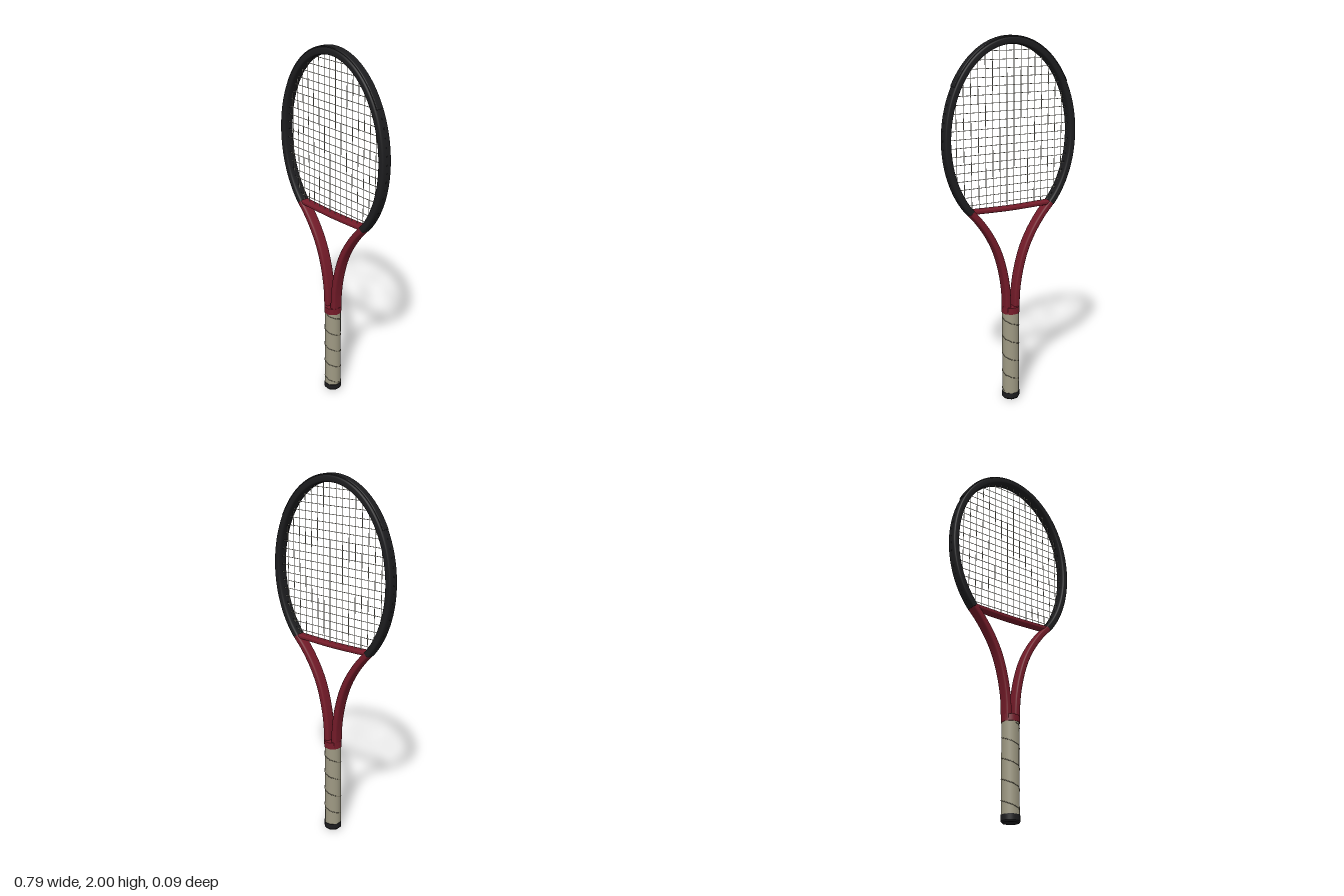
import * as THREE from 'three';

const CY = 1.48, A = 0.373, B = 0.495; // centre line of the oval head

const mat = (name, color) => {
  const m = new THREE.MeshStandardMaterial({ color });
  m.name = name;
  return m;
};

// Rounded-rectangle section: u lies in the plane of the head, v along z
function section(hu, hv, du = 0, p = 0.5, n = 24) {
  return Array.from({ length: n }, (_, i) => {
    const t = (i / n) * Math.PI * 2, c = Math.cos(t), s = Math.sin(t);
    return [du + hu * Math.sign(c) * Math.abs(c) ** p, hv * Math.sign(s) * Math.abs(s) ** p];
  });
}

// Sweep a section along points in the xy plane, with capped ends
function sweep(points, sec) {
  const pos = [], idx = [], n = sec.length, last = points.length - 1;
  const ring = (i) => {
    const a = points[Math.max(i - 1, 0)], b = points[Math.min(i + 1, last)];
    const tx = b.x - a.x, ty = b.y - a.y, l = Math.hypot(tx, ty);
    for (const [u, v] of sec) pos.push(points[i].x + (u * ty) / l, points[i].y - (u * tx) / l, v);
  };
  points.forEach((_, i) => ring(i));
  for (let i = 0; i < last; i++) {
    for (let j = 0; j < n; j++) {
      const a = i * n + j, b = i * n + ((j + 1) % n);
      idx.push(a, a + n, b, b, a + n, b + n);
    }
  }
  for (const end of [0, last]) {
    const s = pos.length / 3;
    ring(end);
    for (let j = 1; j < n - 1; j++) idx.push(s, ...(end ? [s + j + 1, s + j] : [s + j, s + j + 1]));
  }
  const g = new THREE.BufferGeometry();
  g.setAttribute('position', new THREE.Float32BufferAttribute(pos, 3));
  g.setIndex(idx);
  g.computeVertexNormals();
  return g;
}

const onHead = (t) => new THREE.Vector3(A * Math.cos(t), CY + B * Math.sin(t), 0);
const headArc = (t0, t1, n) =>
  Array.from({ length: n + 1 }, (_, i) => onHead(t0 + ((t1 - t0) * i) / n));
const curve = (pts, n) =>
  new THREE.CatmullRomCurve3(pts.map(([x, y]) => new THREE.Vector3(x, y, 0))).getPoints(n);

// Radius factor of a softly rounded octagon whose flats face front and sides
function octagonFactor(t) {
  const q = Math.PI / 4;
  return Math.min(1 / Math.cos(t - Math.round(t / q) * q), 1.06);
}

// Handle piece with a rounded octagonal section; r is measured to the flats
function handlePiece(rTop, rBottom, y0, y1) {
  const g = new THREE.CylinderGeometry(rTop, rBottom, y1 - y0, 48).translate(0, (y0 + y1) / 2, 0);
  const p = g.attributes.position;
  for (let i = 0; i < p.count; i++) {
    const k = octagonFactor(Math.atan2(p.getX(i), p.getZ(i)));
    p.setXYZ(i, p.getX(i) * k, p.getY(i), p.getZ(i) * k);
  }
  return g;
}

export function createModel() {
  const root = new THREE.Group();
  root.name = 'racket';
  const black = mat('black frame', 0x1d1d1f);
  const red = mat('dark red', 0x741b29);
  const gripTan = mat('grip tan', 0x9e9983);
  const seamMat = mat('seam', 0x6a6453);
  const stringMat = mat('string', 0xcac6b8);
  const add = (parent, name, geo, material) => {
    const m = new THREE.Mesh(geo, material);
    m.name = name;
    parent.add(m);
    return m;
  };

  // Head hoop and the raised guard over its top
  const t0 = -0.86;
  add(root, 'headHoop', sweep(headArc(t0, Math.PI - t0, 96), section(0.019, 0.031)), black);
  add(root, 'bumperGuard', sweep(headArc(0.57, Math.PI - 0.57, 56), section(0.012, 0.021, 0.013, 0.3)), black);

  // Throat arms running from the hoop to the handle
  const arm = [[0.243, 1.105], [0.19, 1.046], [0.13, 0.96], [0.083, 0.865], [0.049, 0.75], [0.031, 0.64], [0.026, 0.52]];
  for (const s of [1, -1]) {
    const pts = curve(arm.map(([x, y]) => [s * x, y]), 40);
    add(root, s > 0 ? 'leftThroatArm' : 'rightThroatArm', sweep(pts, section(0.018, 0.031)), red);
  }
  add(root, 'throatBridge', sweep(curve([[-0.23, 1.107], [0, 1.102], [0.23, 1.107]], 24), section(0.012, 0.026)), red);

  // Strings, with grommets where they pass through the hoop
  const strings = new THREE.Group();
  strings.name = 'strings';
  const grommets = new THREE.Group();
  grommets.name = 'grommets';
  root.add(strings, grommets);
  for (let i = 0; i < 16; i++) {
    const x = (i - 7.5) * 0.042;
    const h = B * Math.sqrt(1 - (x / A) ** 2);
    const y0 = Math.max(1.1, CY - h), y1 = CY + h;
    add(strings, 'mainString', new THREE.CylinderGeometry(0.0017, 0.0017, y1 - y0, 6)
      .translate(x, (y0 + y1) / 2, 0.0013), stringMat);
  }
  for (let i = 0; i < 19; i++) {
    const y = 1.142 + i * 0.0435;
    const w = A * Math.sqrt(1 - ((y - CY) / B) ** 2);
    add(strings, 'crossString', new THREE.CylinderGeometry(0.0017, 0.0017, 2 * w, 6)
      .rotateZ(Math.PI / 2).translate(0, y, -0.0013), stringMat);
    if (y > 1.75) continue;
    for (const s of [1, -1]) {
      const g = add(grommets, 'grommet', new THREE.CylinderGeometry(0.005, 0.005, 0.041, 8), black);
      g.position.set(s * w, y, 0);
      g.rotation.z = Math.atan2((y - CY) / B ** 2, (s * w) / A ** 2) - Math.PI / 2;
    }
  }

  // Handle: collar, grip, and butt cap
  add(root, 'collar', handlePiece(0.046, 0.047, 0.51, 0.547), red);
  add(root, 'grip', handlePiece(0.0445, 0.0445, 0.035, 0.512), gripTan);
  add(root, 'buttCap', handlePiece(0.047, 0.047, 0.008, 0.038), black);
  add(root, 'buttCapBase', handlePiece(0.047, 0.041, 0, 0.008), black);

  // Spiral seam of the grip wrap, following the rounded flats
  const turns = 4.3, pitch = 0.107, seam = [];
  for (let i = 0; i <= turns * 32; i++) {
    const t = (i / 32) * Math.PI * 2, r = 0.0447 * octagonFactor(t);
    seam.push(new THREE.Vector3(r * Math.sin(t), 0.503 - (pitch * i) / 32, r * Math.cos(t)));
  }
  add(root, 'gripSeam', new THREE.TubeGeometry(new THREE.CatmullRomCurve3(seam), 280, 0.002, 6), seamMat);

  return root;
}
